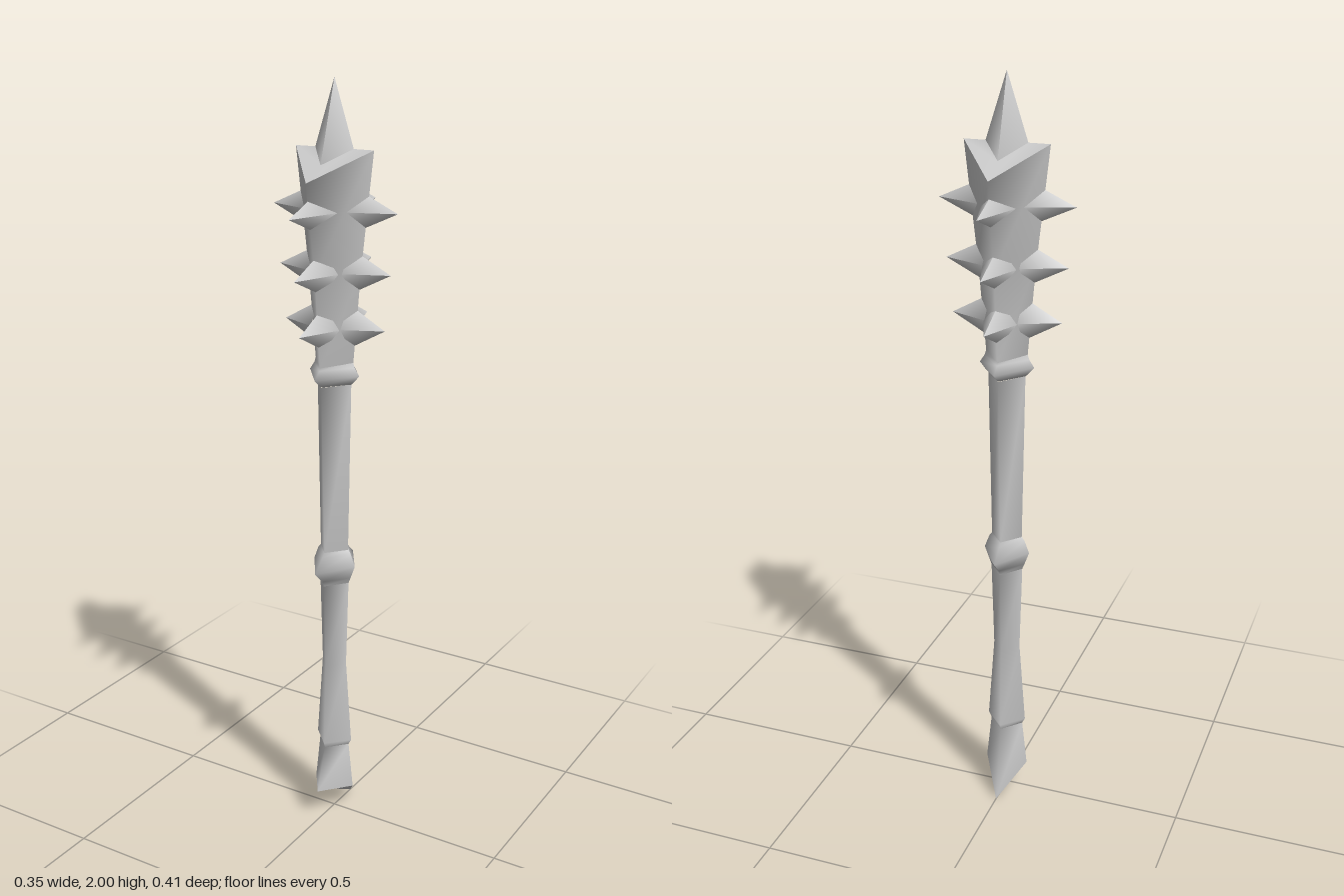
import * as THREE from 'three';

const material = new THREE.MeshStandardMaterial({ color: 0xcccccc });

// Loft of diamond cross-sections, each [y, halfWidthX, halfDepthZ, frontLift, backLift]
function loft(name, rings) {
  const positions = [], index = [];
  for (const [y, rx, rz, front = 0, back = front] of rings) {
    positions.push(0, y + front, rz, rx, y, 0, 0, y + back, -rz, -rx, y, 0);
  }
  for (let r = 0; r < rings.length - 1; r++) {
    for (let i = 0; i < 4; i++) {
      const a = r * 4 + i, b = r * 4 + (i + 1) % 4;
      if (rings[r][1] > 0) index.push(a, b, b + 4);
      if (rings[r + 1][1] > 0) index.push(a, b + 4, a + 4);
      else if (rings[r][1] > 0) continue;
    }
  }
  const geometry = new THREE.BufferGeometry();
  geometry.setAttribute('position', new THREE.Float32BufferAttribute(positions, 3));
  geometry.setIndex(index);
  geometry.computeVertexNormals();
  const mesh = new THREE.Mesh(geometry, material);
  mesh.name = name;
  return mesh;
}

export function createModel() {
  const club = new THREE.Group();
  club.name = 'spikedClub';

  // Handle: slanted pommel, waisted grip
  const pommelEnd = [0.08, 0.06, 0.09, 0.01, -0.08];
  club.add(
    loft('pommelCap', [[0.05, 0, 0], pommelEnd]),
    loft('pommel', [pommelEnd, [0.21, 0.046, 0.05]]),
    loft('grip', [[0.21, 0.046, 0.05], [0.225, 0.054, 0.055], [0.46, 0.037, 0.046], [0.7, 0.044, 0.052]]),
    loft('middleCollar', [[0.7, 0.044, 0.055], [0.715, 0.05, 0.06], [0.75, 0.063, 0.097],
      [0.785, 0.05, 0.06], [0.795, 0.042, 0.05]]),
    loft('shaft', [[0.79, 0.042, 0.05], [1.25, 0.05, 0.064]]),
    loft('upperCollar', [[1.25, 0.05, 0.06], [1.255, 0.056, 0.07], [1.275, 0.073, 0.095],
      [1.295, 0.06, 0.072], [1.31, 0.055, 0.068]]),
  );

  // Flared head with drooping front and back corners
  const rim = [1.835, 0.11, 0.13, -0.07];
  const spikeBase = [1.835, 0.054, 0.064, -0.035];
  club.add(
    loft('head', [[1.3, 0.055, 0.07], [1.54, 0.076, 0.092], rim]),
    loft('headTop', [rim, spikeBase]),
    loft('topSpike', [spikeBase, [2, 0, 0]]),
  );

  // Three tiers of spikes, one on each corner of the head
  const tiers = [[1.4, 0.145, 0.165], [1.54, 0.16, 0.185], [1.69, 0.177, 0.205]];
  for (const [y, reachX, reachZ] of tiers) {
    for (let side = 0; side < 4; side++) {
      const reach = side % 2 ? reachX : reachZ;
      const inner = reach * 0.3;
      const spike = loft('sideSpike', [[0, 0.044, 0.056], [reach - inner, 0, 0]]);
      spike.rotation.x = Math.PI / 2;
      spike.position.z = inner;
      const mount = new THREE.Group();
      mount.name = 'spikeMount';
      mount.position.y = y;
      mount.rotation.y = side * Math.PI / 2;
      mount.add(spike);
      club.add(mount);
    }
  }
  return club;
}
